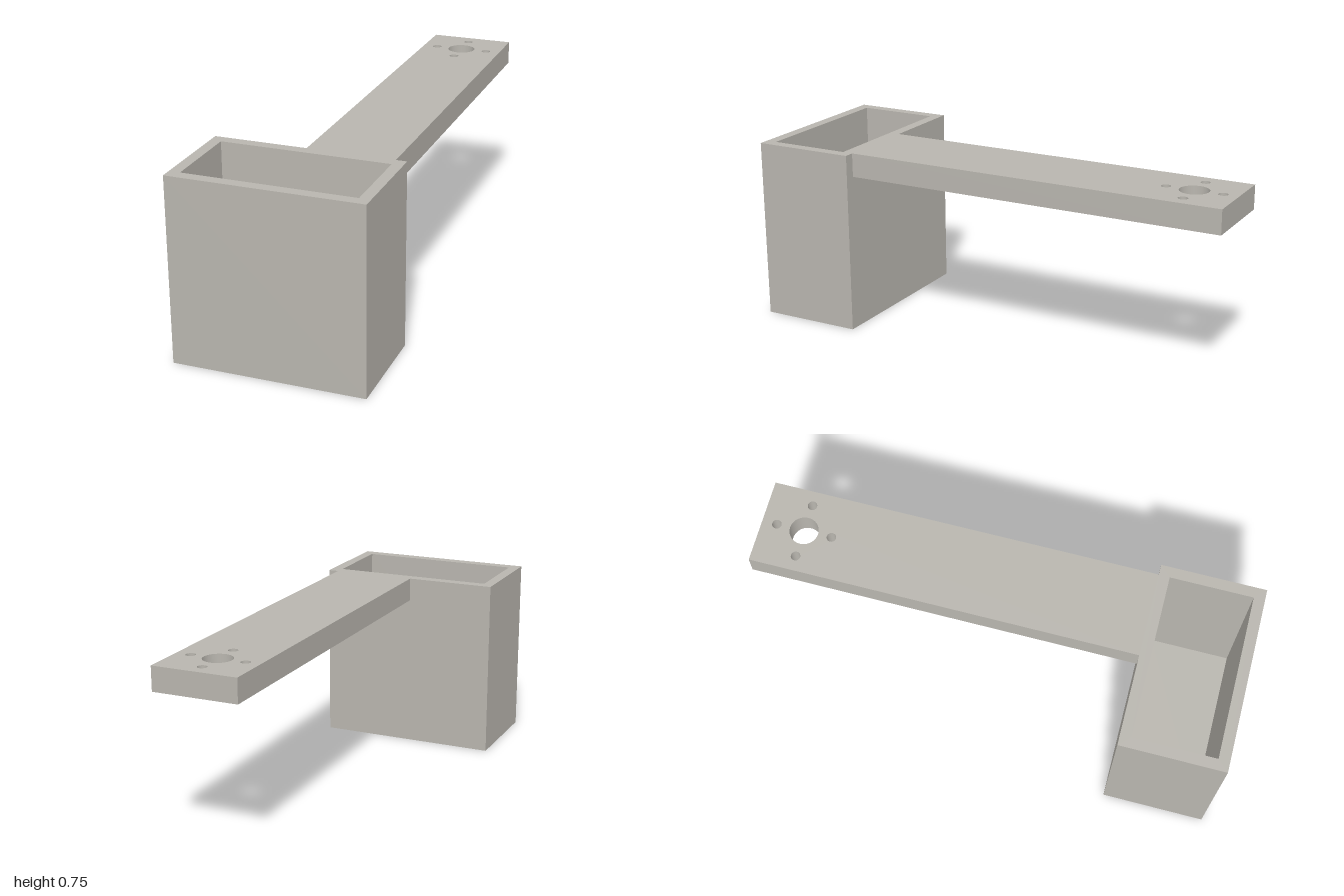
import * as THREE from 'three';

const HEIGHT = 0.748;

// Rectangle in plan (x, z), drawn with y = -z so it can be laid flat
function planRect(Type, x0, x1, z0, z1) {
  return new Type([[x0, -z1], [x1, -z1], [x1, -z0], [x0, -z0]].map(([x, y]) => new THREE.Vector2(x, y)));
}

function roundHole(x, z, radius) {
  const path = new THREE.Path();
  path.absarc(x, -z, radius, 0, Math.PI * 2, true);
  return path;
}

// Extrude a plan shape upwards from y0 to y1
function slab(name, shape, y0, y1, material) {
  const geometry = new THREE.ExtrudeGeometry(shape, { depth: y1 - y0, bevelEnabled: false, curveSegments: 32 });
  geometry.rotateX(-Math.PI / 2).translate(0, y0, 0);
  const mesh = new THREE.Mesh(geometry, material);
  mesh.name = name;
  return mesh;
}

export function createModel() {
  const group = new THREE.Group();
  group.name = 'holderBracket';
  const grey = new THREE.MeshStandardMaterial({ color: 0xb8b5ae });
  grey.name = 'warmGrey';

  // Open-topped box: four walls around a floor
  const walls = planRect(THREE.Shape, -0.381, 0.381, 0.576, 1);
  walls.holes.push(planRect(THREE.Path, -0.337, 0.337, 0.62, 0.955));
  group.add(slab('boxWalls', walls, 0, HEIGHT, grey));
  group.add(slab('boxFloor', planRect(THREE.Shape, -0.337, 0.337, 0.62, 0.955), 0, 0.045, grey));

  // Flat arm reaching backwards, with a bore ringed by four screw holes
  const arm = planRect(THREE.Shape, -0.01, 0.338, -1, 0.576);
  const cx = 0.164, cz = -0.826;
  arm.holes.push(roundHole(cx, cz, 0.058));
  for (let i = 0; i < 4; i++) {
    const a = i * Math.PI / 2;
    arm.holes.push(roundHole(cx + 0.113 * Math.cos(a), cz + 0.113 * Math.sin(a), 0.019));
  }
  group.add(slab('mountingArm', arm, 0.65, HEIGHT, grey));

  return group;
}
